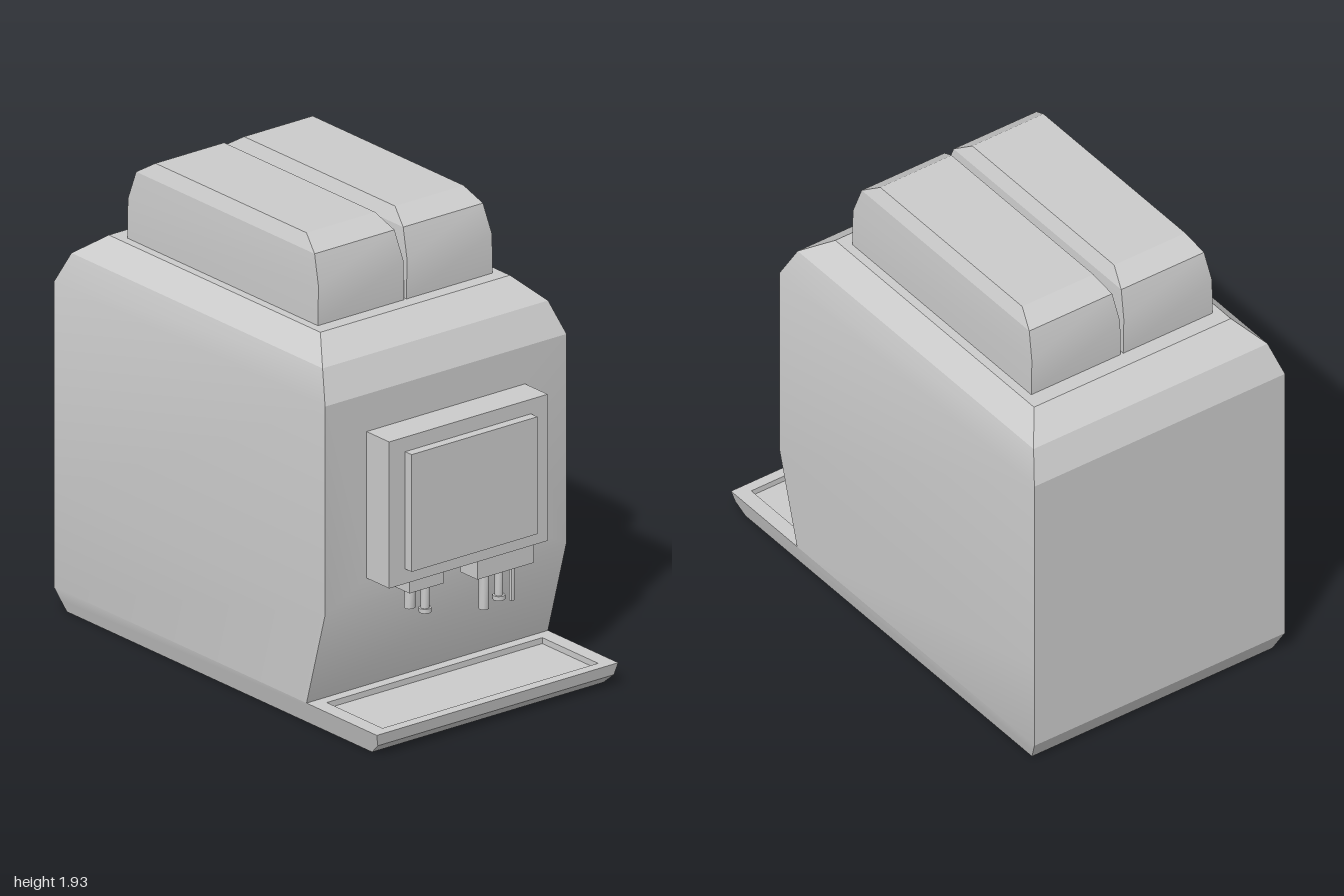
import * as THREE from 'three';
import { mergeGeometries, toCreasedNormals } from 'three/addons/utils/BufferGeometryUtils.js';

const material = new THREE.MeshStandardMaterial({ color: 0xcccccc, side: THREE.DoubleSide });

// Skin a stack of rectangles [y, x0, x1, z0, z1]; openFront lists bands left without a +z side.
function loft(levels, cap = false, openFront = []) {
  const pos = [];
  const rings = levels.map(([y, x0, x1, z0, z1]) => [[x0, y, z1], [x1, y, z1], [x1, y, z0], [x0, y, z0]]);
  const quad = (a, b, c, d) => pos.push(...a, ...b, ...c, ...a, ...c, ...d);
  for (let i = 0; i < rings.length - 1; i++) {
    for (let s = 0; s < 4; s++) {
      if (s === 0 && openFront.includes(i)) continue;
      const t = (s + 1) % 4;
      quad(rings[i][s], rings[i][t], rings[i + 1][t], rings[i + 1][s]);
    }
  }
  if (cap) quad(...rings[rings.length - 1]);
  const g = new THREE.BufferGeometry();
  g.setAttribute('position', new THREE.Float32BufferAttribute(pos, 3));
  return g;
}

// Same, but stacked towards the front: levels are [z, x0, x1, y0, y1].
const loftForward = (levels, cap) =>
  loft(levels.map(([z, x0, x1, y0, y1]) => [z, x0, x1, -y1, -y0]), cap).rotateX(Math.PI / 2);

export function createModel() {
  const model = new THREE.Group();
  const add = (name, geometry, parent = model) => {
    const mesh = new THREE.Mesh(geometry, material);
    mesh.name = name;
    parent.add(mesh);
    return mesh;
  };

  // Housing: open-bottomed shell with an opening behind the display
  const W = 0.605;
  const skirt = loft([
    [0, -0.58, 0.58, -0.95, 0.94],
    [0.045, -0.592, 0.592, -0.974, 0.99],
    [0.095, -W, W, -1, 1],
  ]);
  const walls = loft([
    [0.095, -W, W, -1, 0.565],
    [0.5, -W, W, -1, 0.68],
    [1.375, -W, W, -1, 0.68],
    [1.505, -0.565, 0.565, -0.94, 0.615],
    [1.595, -0.475, 0.475, -0.82, 0.49],
  ], true, [1]);
  const frontWall = loftForward([
    [0.68, -W, W, 0.5, 1.375],
    [0.68, -0.397, 0.397, 0.603, 1.218],
  ]);
  add('housing', toCreasedNormals(mergeGeometries([skirt, walls, frontWall]), 0.35));

  // Drip tray: rim and shallow recess
  add('dripTray', toCreasedNormals(loft([
    [0.095, -W, W, 0.565, 1],
    [0.095, -0.54, 0.54, 0.61, 0.955],
    [0.07, -0.54, 0.54, 0.61, 0.955],
  ], true), 0.35));

  // Display panel with raised screen, hollow behind
  add('displayPanel', toCreasedNormals(loftForward([
    [0.68, -0.397, 0.397, 0.603, 1.218],
    [0.82, -0.397, 0.397, 0.603, 1.218],
    [0.82, -0.317, 0.313, 0.665, 1.157],
    [0.86, -0.317, 0.313, 0.665, 1.157],
  ], true), 0.35));

  // Two bean hoppers on the lid
  for (const [name, x] of [['leftHopper', 0.221], ['rightHopper', -0.223]]) {
    const hopper = add(name, toCreasedNormals(loft([
      [1.595, -0.216, 0.216, -0.75, 0.43],
      [1.76, -0.213, 0.213, -0.75, 0.43],
      [1.88, -0.2, 0.2, -0.715, 0.39],
      [1.935, -0.172, 0.172, -0.63, 0.305],
    ], true), 0.35));
    hopper.position.x = x;
  }

  // Spout blocks with nozzles [x, bottom, radius, flared]
  const spouts = [
    ['leftSpout', 0.055, 0.335, 0.522, [[0.13, 0.367, 0.021, false], [0.205, 0.388, 0.017, true], [0.27, 0.367, 0.011, false]]],
    ['rightSpout', -0.285, -0.115, 0.55, [[-0.242, 0.465, 0.022, false], [-0.165, 0.428, 0.018, true]]],
  ];
  const Z = 0.755;
  for (const [name, x0, x1, y0, nozzles] of spouts) {
    const spout = new THREE.Group();
    spout.name = name;
    model.add(spout);
    const block = add('spoutBlock', new THREE.BoxGeometry(x1 - x0, 0.605 - y0, 0.105), spout);
    block.position.set((x0 + x1) / 2, (0.605 + y0) / 2, Z);
    for (const [x, bottom, r, flared] of nozzles) {
      const tube = new THREE.CylinderGeometry(r, r, y0 - bottom, 8, 1, true);
      add('nozzle', toCreasedNormals(tube, 0.9), spout).position.set(x, (y0 + bottom) / 2, Z);
      if (flared) {
        const collar = new THREE.CylinderGeometry(0.026, 0.026, 0.018, 8);
        add('nozzleCollar', toCreasedNormals(collar, 0.9), spout).position.set(x, bottom + 0.009, Z);
      }
    }
  }
  return model;
}
